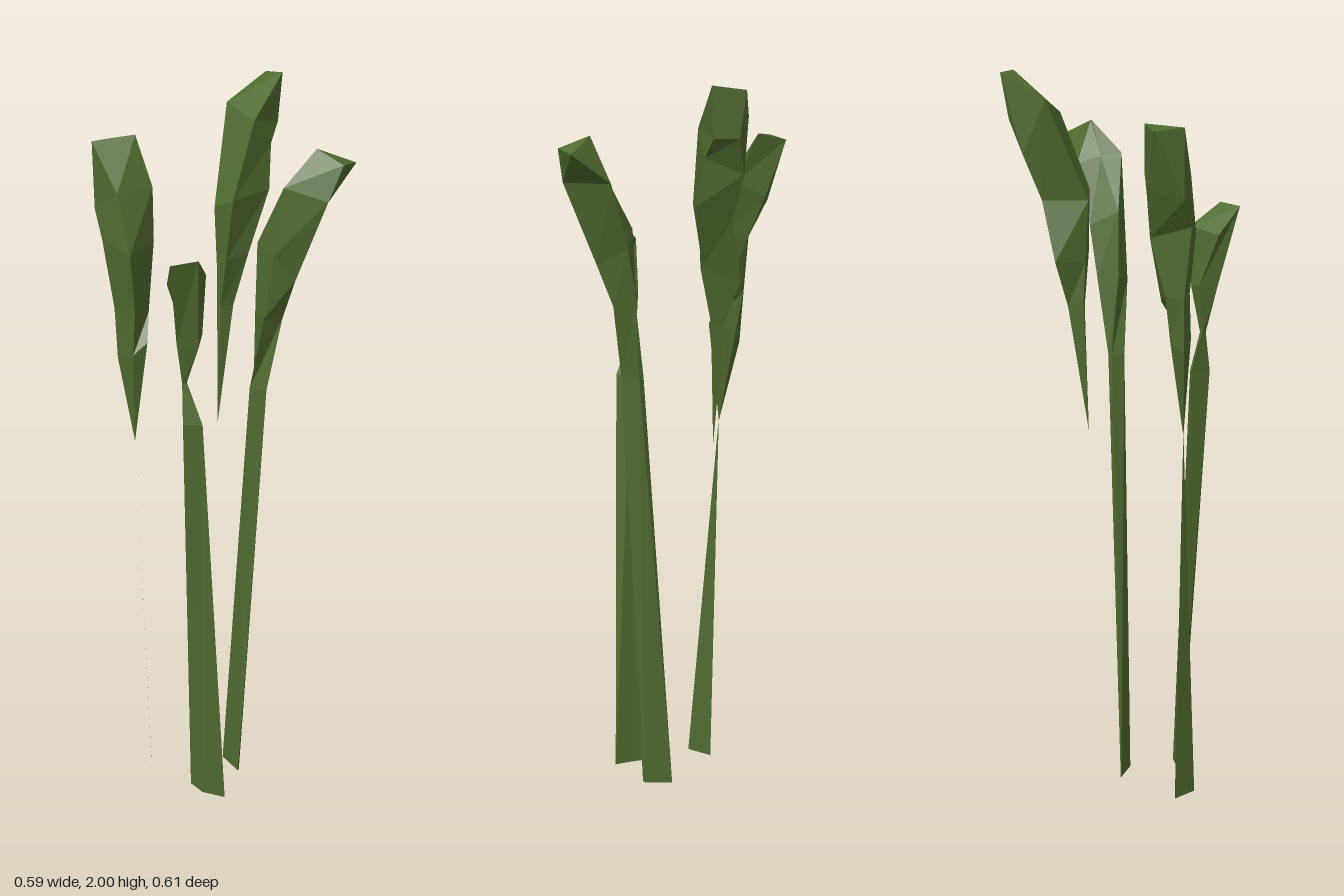
import * as THREE from 'three';

const stalkGreen = new THREE.MeshStandardMaterial({ color: 0x4f6b2f });
stalkGreen.name = 'stalkGreen';
stalkGreen.flatShading = true;
stalkGreen.side = THREE.DoubleSide;

// Loft through four-cornered rings, listed from the bottom up.
// Corners run anticlockwise seen from above, each [x, y, z].
function loft(name, rings) {
  const pos = [];
  const tri = (a, b, c) => pos.push(...a, ...b, ...c);
  for (let r = 0; r < rings.length - 1; r++) {
    const lo = rings[r], hi = rings[r + 1];
    for (let i = 0; i < 4; i++) {
      const j = (i + 1) % 4;
      tri(lo[i], lo[j], hi[j]);
      tri(lo[i], hi[j], hi[i]);
    }
  }
  const [a, b, c, d] = rings[rings.length - 1];
  tri(a, b, c);
  tri(a, c, d);
  const [e, f, g, h] = rings[0];
  tri(e, g, f);
  tri(e, h, g);
  const geo = new THREE.BufferGeometry();
  geo.setAttribute('position', new THREE.Float32BufferAttribute(pos, 3));
  geo.computeVertexNormals();
  const mesh = new THREE.Mesh(geo, stalkGreen);
  mesh.name = name;
  return mesh;
}

const point = (x, y, z) => Array(4).fill([x, y, z]);

function stalk(name, ...parts) {
  const group = new THREE.Group();
  group.name = name;
  group.add(...parts);
  return group;
}

export function createModel() {
  const model = new THREE.Group();
  model.name = 'stalkCluster';

  // Tallest bud, tapering to a point below
  model.add(stalk('backLeftStalk', loft('backLeftBud', [
    point(0.075, 1.04, -0.1),
    [[0.085, 1.38, -0.1], [0.122, 1.38, -0.09], [0.125, 1.38, -0.125], [0.085, 1.4, -0.115]],
    [[0.08, 1.52, -0.07], [0.15, 1.53, -0.06], [0.15, 1.5, -0.165], [0.08, 1.5, -0.11]],
    [[0.083, 1.69, -0.043], [0.213, 1.7, -0.05], [0.19, 1.66, -0.14], [0.072, 1.66, -0.11]],
    [[0.16, 1.89, -0.052], [0.23, 1.82, -0.065], [0.235, 1.78, -0.165], [0.17, 1.92, -0.18]],
    [[0.28, 2.0, -0.08], [0.27, 1.87, -0.085], [0.275, 1.87, -0.15], [0.293, 1.99, -0.165]],
  ])));

  // Bud on a flat blade-like stem
  const foot = [-0.215, 0, -0.047], heel = [-0.17, 0, -0.112];
  model.add(stalk('backRightStalk',
    loft('backRightStem', [
      [foot, heel, heel, foot],
      point(-0.19, 1.05, -0.132),
    ]),
    loft('backRightBud', [
      point(-0.19, 1.04, -0.132),
      [[-0.205, 1.3, -0.11], [-0.165, 1.33, -0.1], [-0.16, 1.3, -0.175], [-0.2, 1.27, -0.19]],
      [[-0.2, 1.42, -0.105], [-0.13, 1.4, -0.14], [-0.15, 1.42, -0.195], [-0.2, 1.41, -0.2]],
      [[-0.215, 1.58, -0.1], [-0.102, 1.59, -0.15], [-0.11, 1.57, -0.2], [-0.222, 1.6, -0.217]],
      [[-0.21, 1.73, -0.16], [-0.09, 1.73, -0.168], [-0.11, 1.69, -0.25], [-0.21, 1.67, -0.265]],
      [[-0.21, 1.85, -0.27], [-0.1, 1.86, -0.228], [-0.138, 1.84, -0.308], [-0.145, 1.84, -0.308]],
    ])));

  // Shortest stalk: leaning stem, pinched neck, slanted bud
  const neck = [[-0.212, 1.29, 0.115], [-0.203, 1.29, 0.122], [-0.196, 1.29, 0.113], [-0.204, 1.29, 0.105]];
  model.add(stalk('frontRightStalk',
    loft('frontRightStem', [
      [[-0.152, 0, 0.115], [-0.117, 0, 0.175], [-0.135, 0, 0.125], [-0.152, 0, 0.06]],
      [[-0.222, 1.18, 0.13], [-0.182, 1.18, 0.162], [-0.168, 1.18, 0.12], [-0.177, 1.18, 0.09]],
      neck,
    ]),
    loft('frontRightBud', [
      neck,
      [[-0.24, 1.41, 0.13], [-0.205, 1.4, 0.175], [-0.165, 1.42, 0.14], [-0.195, 1.42, 0.098]],
      [[-0.295, 1.635, 0.18], [-0.235, 1.645, 0.217], [-0.16, 1.58, 0.15], [-0.248, 1.56, 0.103]],
    ])));

  // Wide thin stem with a bent bud
  const collar = [[0.02, 1.43, 0.165], [0.08, 1.42, 0.168], [0.095, 1.44, 0.107], [0.035, 1.44, 0.11]];
  model.add(stalk('frontLeftStalk',
    loft('frontLeftStem', [
      [[-0.003, 0, 0.095], [0.005, 0, 0.09], [0.009, 0, 0.01], [0.007, 0, 0.01]],
      [[0.018, 1.22, 0.11], [0.045, 1.22, 0.148], [0.062, 1.22, 0.1], [0.05, 1.22, 0.088]],
      collar,
    ]),
    loft('frontLeftBud', [
      collar,
      [[0.032, 1.6, 0.185], [0.085, 1.53, 0.21], [0.12, 1.58, 0.128], [0.036, 1.62, 0.115]],
      [[0.045, 1.78, 0.205], [0.115, 1.75, 0.295], [0.165, 1.75, 0.17], [0.1, 1.77, 0.187]],
      [[0.135, 1.87, 0.225], [0.155, 1.84, 0.305], [0.23, 1.83, 0.27], [0.137, 1.87, 0.223]],
    ])));

  return model;
}
